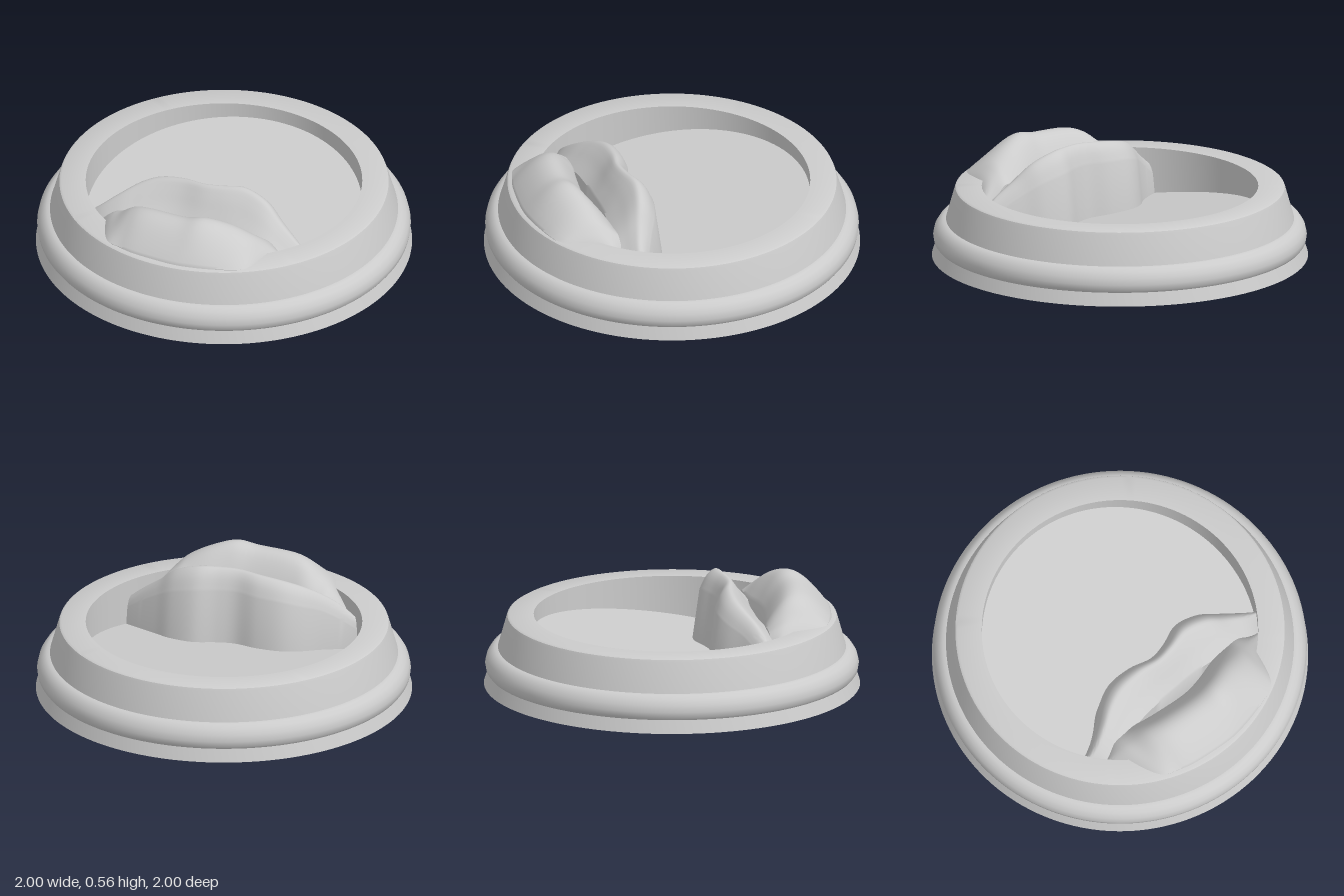
import * as THREE from 'three';
import { toCreasedNormals } from 'three/addons/utils/BufferGeometryUtils.js';

// Height of the recessed floor, which drains down towards the front
const floorAt = z => 0.19 - 0.15 * z;

// Lofts a lip along x. Stations are [x, zBack, zFront, crestHeight, edgeHeight];
// the section runs back to front as [fraction of depth, fraction of rise above edge].
function lipGeometry(stations, section, cols = 72, rows = 20) {
  const spine = new THREE.SplineCurve(stations.map(s => new THREE.Vector2(s[0], s[3])));
  const span = new THREE.SplineCurve(stations.map(s => new THREE.Vector2(s[1], s[2])));
  const rim = new THREE.SplineCurve(stations.map(s => new THREE.Vector2(s[0], s[4])));
  const profile = new THREE.SplineCurve(section.map(p => new THREE.Vector2(...p))).getPoints(rows);
  const n = profile.length + 2;
  const pos = [], index = [];
  for (let i = 0; i <= cols; i++) {
    const { x, y: crest } = spine.getPoint(i / cols);
    const { x: zBack, y: zFront } = span.getPoint(i / cols);
    const edge = rim.getPoint(i / cols).y;
    pos.push(x, floorAt(zBack) - 0.01, zBack);
    for (const p of profile) {
      pos.push(x, edge + (crest - edge) * p.y, zBack + (zFront - zBack) * p.x);
    }
    pos.push(x, floorAt(zFront) - 0.01, zFront);
  }
  for (let i = 0; i < cols; i++) {
    for (let j = 0; j < n - 1; j++) {
      const a = i * n + j, b = a + n;
      index.push(a, a + 1, b, b, a + 1, b + 1);
    }
  }
  // end caps
  const last = cols * n;
  for (let j = 1; j < n - 1; j++) {
    index.push(0, j + 1, j, last, last + j, last + j + 1);
  }
  const g = new THREE.BufferGeometry();
  g.setAttribute('position', new THREE.Float32BufferAttribute(pos, 3));
  g.setIndex(index);
  return toCreasedNormals(g, 0.7);
}

export function createModel() {
  const group = new THREE.Group();
  const material = new THREE.MeshStandardMaterial({ color: 0xcccccc });
  const add = (name, geometry) => {
    const mesh = new THREE.Mesh(geometry, material);
    mesh.name = name;
    group.add(mesh);
  };

  // Rim shell: underside, groove, flared skirt, bead, sloped wall, flat top, inner wall
  const rim = [
    [0.735, 0.005], [0.864, 0.005], [0.864, 0.2], [0.89, 0.2], [0.945, 0.16], [0.96, 0.12],
    [0.945, 0.07], [0.957, 0], [1, 0], [0.977, 0.07], [0.988, 0.085], [0.993, 0.115],
    [0.985, 0.15], [0.966, 0.18], [0.943, 0.197], [0.925, 0.2], [0.88, 0.36], [0.875, 0.373],
    [0.863, 0.38], [0.735, 0.38], [0.735, 0.05],
  ].map(p => new THREE.Vector2(...p));
  add('rim', toCreasedNormals(new THREE.LatheGeometry(rim, 128), 0.6));

  // Wedge-shaped floor plug with the drinking slit cut through it
  const disc = new THREE.Shape().absarc(0, 0, 0.736, 0, Math.PI * 2);
  const slit = new THREE.Path();
  slit.moveTo(-0.31, -0.455);
  slit.quadraticCurveTo(0, -0.4, 0.31, -0.455);
  slit.quadraticCurveTo(0, -0.56, -0.31, -0.455);
  disc.holes.push(slit);
  const floor = new THREE.ExtrudeGeometry(disc, { depth: 1, bevelEnabled: false, curveSegments: 64 });
  floor.rotateX(-Math.PI / 2);
  const p = floor.attributes.position;
  for (let i = 0; i < p.count; i++) p.setY(i, p.getY(i) > 0.5 ? floorAt(p.getZ(i)) : 0.005);
  add('floor', toCreasedNormals(floor, 0.6));

  // Upper lip: steep back wall with a bow outline, sloping down to the mouth
  add('upperLip', lipGeometry([
    [-0.66, 0.39, 0.44, 0.26, 0.18], [-0.55, 0.34, 0.5, 0.35, 0.25], [-0.45, 0.28, 0.49, 0.425, 0.31],
    [-0.35, 0.2, 0.47, 0.485, 0.34], [-0.25, 0.165, 0.45, 0.52, 0.36], [-0.12, 0.175, 0.44, 0.54, 0.36],
    [0, 0.215, 0.44, 0.55, 0.36], [0.1, 0.2, 0.44, 0.555, 0.36], [0.22, 0.155, 0.45, 0.555, 0.36],
    [0.35, 0.18, 0.47, 0.51, 0.34], [0.45, 0.24, 0.48, 0.425, 0.31], [0.55, 0.3, 0.48, 0.35, 0.25],
    [0.66, 0.37, 0.43, 0.26, 0.18],
  ], [[0.13, 0.42], [0.26, 0.82], [0.43, 1], [0.6, 0.78], [0.8, 0.4], [1, 0.05]]));

  // Lower lip: full and rounded, spilling over the front of the rim
  add('lowerLip', lipGeometry([
    [-0.56, 0.46, 0.54, 0.27, 0.2], [-0.5, 0.45, 0.6, 0.34, 0.29], [-0.44, 0.45, 0.67, 0.4, 0.36],
    [-0.38, 0.45, 0.76, 0.44, 0.375], [-0.3, 0.45, 0.795, 0.5, 0.375], [-0.2, 0.47, 0.825, 0.53, 0.375],
    [0, 0.495, 0.85, 0.54, 0.375], [0.12, 0.485, 0.845, 0.56, 0.375], [0.25, 0.455, 0.82, 0.525, 0.375],
    [0.36, 0.45, 0.785, 0.47, 0.375], [0.42, 0.45, 0.73, 0.42, 0.37], [0.48, 0.45, 0.62, 0.36, 0.31],
    [0.56, 0.45, 0.52, 0.27, 0.2],
  ], [[0, 0], [0.12, 0.46], [0.27, 0.86], [0.42, 1], [0.58, 0.92], [0.74, 0.68], [0.9, 0.33], [1, 0.06]]));

  return group;
}
